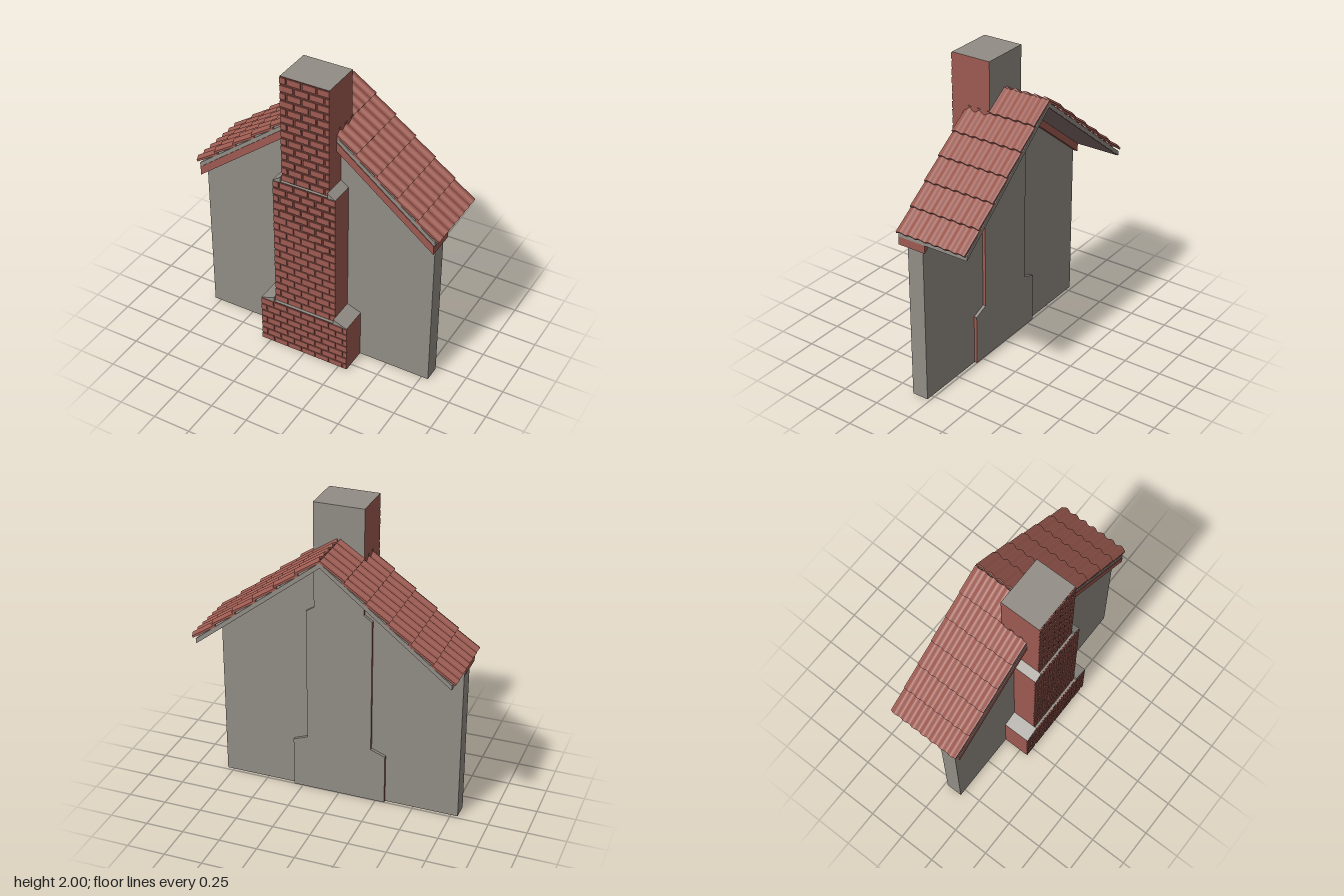
import * as THREE from 'three';
import { mergeGeometries } from 'three/addons/utils/BufferGeometryUtils.js';

export function createModel() {
  const mat = (name, color) => {
    const m = new THREE.MeshStandardMaterial({ color });
    m.name = name;
    return m;
  };
  const plaster = mat('plaster grey', 0x918c85);
  const brick = mat('brick red', 0x9c5a50);
  const mortar = mat('mortar brown', 0x6e3d37);
  const soffit = mat('soffit mauve', 0x806a6a);

  const model = new THREE.Group();
  model.name = 'gableWithChimney';
  const add = (name, geometry, material, parent = model) => {
    const mesh = new THREE.Mesh(geometry, material);
    mesh.name = name;
    parent.add(mesh);
    return mesh;
  };

  // Flat outline in x/y pushed from z0 to z1
  const prism = (points, z0, z1) => {
    const shape = new THREE.Shape(points.map(([x, y]) => new THREE.Vector2(x, y)));
    const g = new THREE.ExtrudeGeometry(shape, { depth: z1 - z0, bevelEnabled: false });
    return g.translate(0, 0, z0);
  };

  // Roof pitch
  const PITCH = 0.785, RIDGE = 1.765, angle = Math.atan(PITCH);
  const band = (top, bottom, x, z0, z1) => prism([
    [-x, bottom - PITCH * x], [0, bottom], [x, bottom - PITCH * x],
    [x, top - PITCH * x], [0, top], [-x, top - PITCH * x],
  ], z0, z1);

  // Gable wall
  const W = 0.795;
  add('gableWall', prism([[-W, 0], [W, 0], [W, 1.71 - PITCH * W], [0, 1.71], [-W, 1.71 - PITCH * W]],
    0.02, 0.13), plaster);

  // Verge boards and roof deck
  add('vergeBoard', band(1.735, 1.675, 0.81, -0.006, 0.185), brick);
  add('roofDeck', band(RIDGE, 1.735, 0.815, -0.31, 0.18), plaster);
  add('soffit', band(1.736, 1.731, 0.81, -0.308, -0.006), soffit);

  // Wavy tile courses, mirrored over the ridge
  const ROWS = 6, STEP = 0.82 / Math.cos(angle) / ROWS, DEPTH = 0.49;
  const tileRow = (i) => {
    const g = new THREE.BoxGeometry(STEP + 0.012, 0.013, DEPTH, 1, 1, 70);
    const p = g.attributes.position;
    for (let k = 0; k < p.count; k++) {
      const phase = (p.getZ(k) / DEPTH + 0.5) * 7 * Math.PI * 2;
      p.setY(k, p.getY(k) - 0.008 * Math.cos(phase));
    }
    g.computeVertexNormals();
    return g.rotateZ(0.08).translate((i + 0.5) * STEP, 0.02, 0);
  };
  for (const [name, turn] of [['leftRoofTiles', 0], ['rightRoofTiles', Math.PI]]) {
    const side = new THREE.Group();
    side.name = name;
    side.position.set(0, RIDGE, -0.065);
    side.rotation.y = turn;
    const slope = new THREE.Group();
    slope.name = name + 'Slope';
    slope.rotation.z = -angle;
    side.add(slope);
    for (let i = 0; i < ROWS; i++) add('tileCourse', tileRow(i), brick, slope);
    model.add(side);
  }

  // Running-bond brick faces on the front of a chimney tier
  const bricks = (half, y0, y1, z) => {
    const parts = [], rows = Math.round((y1 - y0) / 0.052), h = (y1 - y0) / rows;
    const pitch = 0.1, gap = 0.012;
    for (let r = 0; r < rows; r++) {
      for (let x = -half - (r % 2) * pitch / 2; x < half; x += pitch) {
        const a = Math.max(x, -half), b = Math.min(x + pitch - gap, half);
        if (b - a < 0.01) continue;
        parts.push(new THREE.BoxGeometry(b - a, h - gap, 0.006)
          .translate((a + b) / 2, y0 + (r + 0.5) * h, z + 0.003));
      }
    }
    return mergeGeometries(parts);
  };

  // Chimney tiers: half width, bottom, top, front z
  const tiers = [
    ['chimneyBase', 0.31, 0, 0.34, 0.305],
    ['chimneyBody', 0.215, 0.34, 1.275, 0.285],
    ['chimneyStack', 0.162, 1.275, 2, 0.267],
  ];
  tiers.forEach(([name, half, y0, y1, z], i) => {
    add(name, new THREE.BoxGeometry(half * 2, y1 - y0, z).translate(0, (y0 + y1) / 2, z / 2),
      [brick, brick, plaster, plaster, mortar, plaster]);
    add(name + 'Bricks', bricks(half, y0, y1, z), brick);
    // Sloped shoulders where the next tier narrows
    if (i < 2) {
      const inner = tiers[i + 1][1];
      const left = [[inner, y1], [half, y1], [inner, y1 + 0.036]];
      add('leftShoulder', prism(left, 0, z + 0.006), plaster);
      add('rightShoulder', prism(left.map(([x, y]) => [-x, y]), 0, z + 0.006), plaster);
    }
  });

  return model;
}
